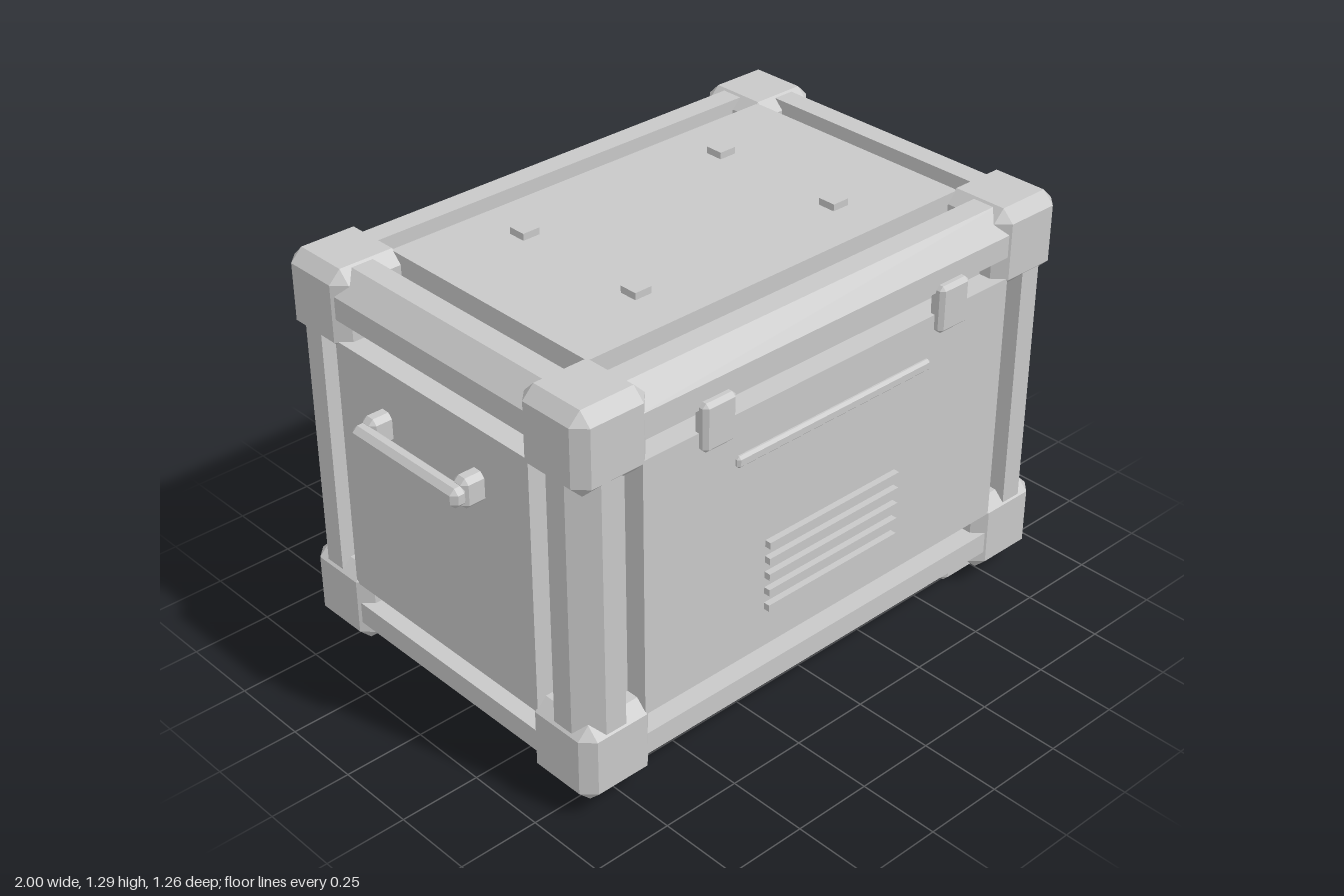
import * as THREE from 'three';
import { ConvexGeometry } from 'three/addons/geometries/ConvexGeometry.js';

const grey = new THREE.MeshStandardMaterial({ color: 0xc8c8c8 });
grey.name = 'plain grey';

const SIGNS = [-1, 1];
const MID = 0.664;                          // height of the case centre
const H = { x: 0.898, y: 0.605, z: 0.606 }; // half size of the case
const STRIP = 0.135;                        // rail width
const EDGE = 0.203;                         // rail plus groove
const DEPTH = 0.07;                         // groove depth

function add(parent, name, geometry, x = 0, y = 0, z = 0) {
  const mesh = new THREE.Mesh(geometry, grey);
  mesh.name = name;
  mesh.position.set(x, y, z);
  parent.add(mesh);
  return mesh;
}

const box = (w, h, d) => new THREE.BoxGeometry(w, h, d);

// Box with every edge cut at 45 degrees
function chamferBox(w, h, d, c) {
  const points = [];
  for (const sx of SIGNS) for (const sy of SIGNS) for (const sz of SIGNS) {
    const x = w / 2, y = h / 2, z = d / 2;
    points.push(
      new THREE.Vector3(sx * x, sy * (y - c), sz * (z - c)),
      new THREE.Vector3(sx * (x - c), sy * y, sz * (z - c)),
      new THREE.Vector3(sx * (x - c), sy * (y - c), sz * z)
    );
  }
  return new ConvexGeometry(points);
}

// Square bar with its outer edge cut, placed at the corner (sa * a, sb * b)
function railGeometry(a, b, sa, sb, length) {
  const cut = 0.065;
  const profile = [[cut, 0], [STRIP, 0], [STRIP, STRIP], [0, STRIP], [0, cut]];
  const shape = new THREE.Shape(
    profile.map(([u, v]) => new THREE.Vector2(sa * (a - u), sb * (b - v))));
  const geometry = new THREE.ExtrudeGeometry(shape, { depth: length, bevelEnabled: false });
  return geometry.translate(0, 0, -length / 2);
}

export function createModel() {
  const model = new THREE.Group();
  model.name = 'equipmentCase';

  // Body core with raised panels on all six sides
  const body = new THREE.Group();
  body.name = 'body';
  body.position.y = MID;
  model.add(body);
  const size = (axis, inset) => 2 * (H[axis] - inset);
  add(body, 'core', box(size('x', DEPTH), size('y', DEPTH), size('z', DEPTH)));
  add(body, 'frontAndBackPanels', box(size('x', EDGE), size('y', EDGE), size('z', 0)));
  add(body, 'sidePanels', box(size('x', 0), size('y', EDGE), size('z', EDGE)));
  add(body, 'topAndBottomPanels', box(size('x', EDGE), size('y', 0), size('z', EDGE)));

  // Rails along the twelve edges
  for (const sa of SIGNS) for (const sb of SIGNS) {
    add(body, 'depthRail', railGeometry(H.x, H.y, sa, sb, 0.9));
    add(body, 'post', railGeometry(H.x, H.z, sa, sb, 0.9).rotateX(-Math.PI / 2));
    add(body, 'lengthRail', railGeometry(H.z, H.y, sa, sb, 1.5).rotateY(Math.PI / 2));
  }

  // Corner guards
  const corner = chamferBox(0.248, 0.25, 0.248, 0.037);
  for (const sx of SIGNS) for (const sy of SIGNS) for (const sz of SIGNS) {
    add(body, 'cornerGuard', corner, sx * 0.781, sy * 0.486, sz * 0.487);
  }

  // Feet and small pads on the lid
  const foot = chamferBox(0.208, 0.1, 0.208, 0.018);
  const pad = box(0.057, 0.04, 0.057);
  for (const sx of SIGNS) for (const sz of SIGNS) {
    add(model, 'foot', foot, sx * 0.714, 0.05, sz * 0.421);
    add(model, 'lidPad', pad, sx * 0.372, 1.27, sz * 0.227);
  }

  // Latches and trim bar on the front and back
  const latch = chamferBox(0.115, 0.146, 0.05, 0.012);
  const trim = chamferBox(0.744, 0.036, 0.03, 0.008);
  for (const sz of SIGNS) {
    for (const sx of SIGNS) add(model, 'latch', latch, sx * 0.446, 1.082, sz * 0.606);
    add(model, 'trimBar', trim, 0, 0.919, sz * 0.604);
  }

  // Vent slats on the front
  for (let i = 0; i < 5; i++) {
    add(model, 'ventSlat', box(0.51, 0.021, 0.04), 0, 0.4 + i * 0.052, 0.606);
  }

  // Carrying handles on both ends
  const mount = chamferBox(0.085, 0.092, 0.056, 0.015);
  const grip = chamferBox(0.052, 0.06, 0.446, 0.016);
  for (const sx of SIGNS) {
    const handle = new THREE.Group();
    handle.name = sx > 0 ? 'leftHandle' : 'rightHandle';
    for (const sz of SIGNS) add(handle, 'handleMount', mount, sx * 0.922, 0.892, sz * 0.195);
    add(handle, 'handleGrip', grip, sx * 0.974, 0.892, 0);
    model.add(handle);
  }

  return model;
}
